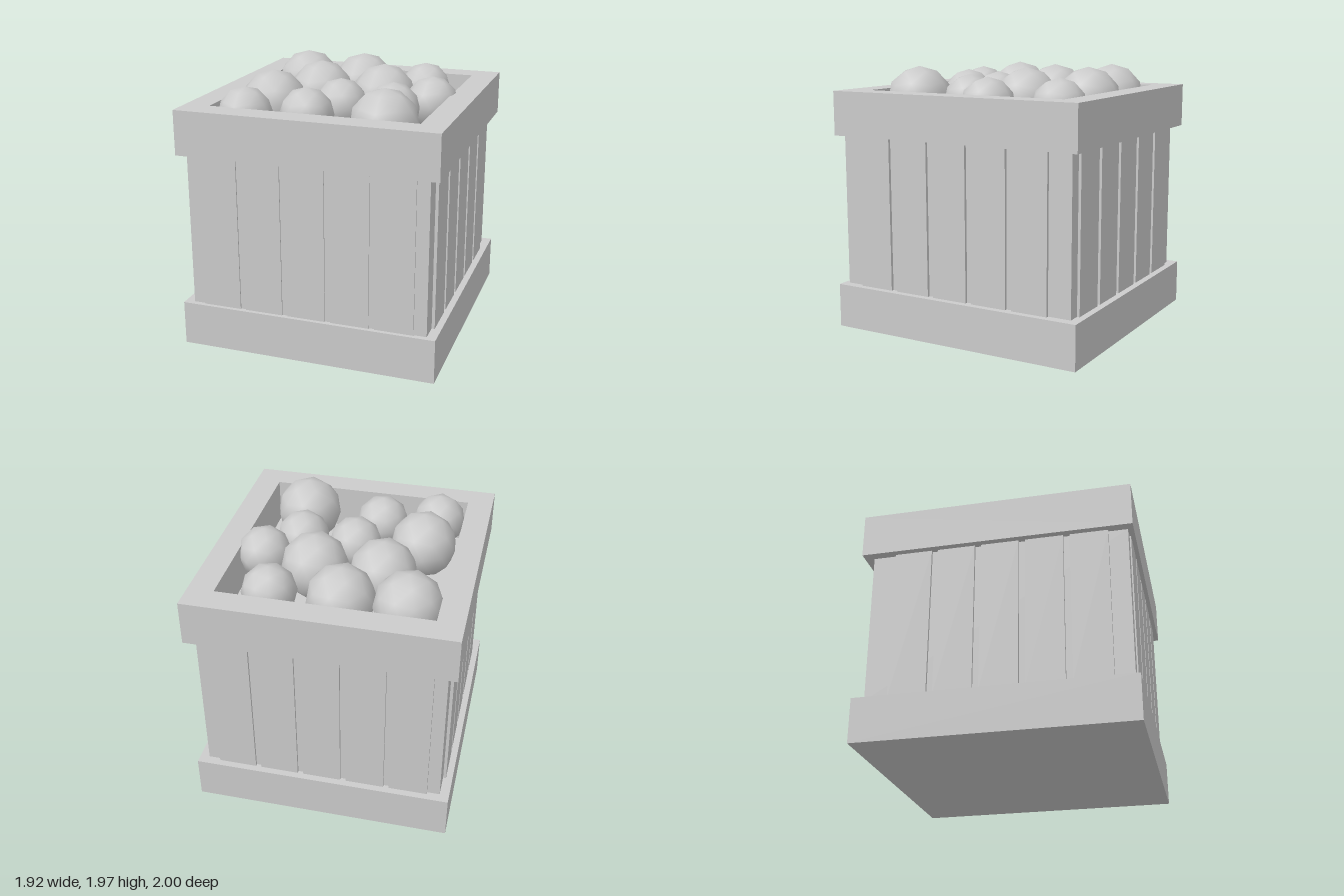
import * as THREE from 'three';

export function createModel() {
  const model = new THREE.Group();
  model.name = 'crateOfBalls';
  const mat = new THREE.MeshStandardMaterial({ color: 0xcccccc });

  const add = (name, geometry, x, y, z) => {
    const mesh = new THREE.Mesh(geometry, mat);
    mesh.name = name;
    mesh.position.set(x, y, z);
    model.add(mesh);
    return mesh;
  };
  // Box given by its limits on each axis
  const box = (name, x0, x1, y0, y1, z0, z1) =>
    add(name, new THREE.BoxGeometry(x1 - x0, y1 - y0, z1 - z0),
      (x0 + x1) / 2, (y0 + y1) / 2, (z0 + z1) / 2);

  const baseTop = 0.33, rimBottom = 1.47, rimTop = 1.8;

  // Base slab and recessed inner body, whose top is the tray floor
  box('base', -0.96, 0.96, 0, baseTop, -1, 1);
  box('body', -0.89, 0.89, baseTop, rimBottom, -0.93, 0.96);

  // Five upright planks on each side
  for (let i = -2; i <= 2; i++) {
    const x = i * 0.327, z = 0.033 + i * 0.325;
    box('frontPlank', x - 0.143, x + 0.143, baseTop, rimBottom, 0.94, 0.97);
    box('backPlank', x - 0.143, x + 0.143, baseTop, rimBottom, -0.95, -0.9);
    box('leftPlank', 0.86, 0.912, baseTop, rimBottom, z - 0.139, z + 0.139);
    box('rightPlank', -0.912, -0.86, baseTop, rimBottom, z - 0.139, z + 0.139);
  }

  // Top rim: a frame with a rectangular opening
  const rect = (Type, w, d) => new Type([
    new THREE.Vector2(-w, -d), new THREE.Vector2(w, -d),
    new THREE.Vector2(w, d), new THREE.Vector2(-w, d),
  ]);
  const frame = rect(THREE.Shape, 0.96, 1);
  frame.holes.push(rect(THREE.Path, 0.77, 0.805));
  const rim = new THREE.ExtrudeGeometry(frame, { depth: rimTop - rimBottom, bevelEnabled: false });
  rim.rotateX(-Math.PI / 2);
  add('rim', rim, 0, rimBottom, 0);

  // Balls with a vertex on top: x, z, radius, turn in degrees
  const balls = [
    [-0.54, -0.56, 0.25, 0], [-0.07, -0.58, 0.25, 9], [0.44, -0.6, 0.2, 0],
    [-0.29, -0.19, 0.25, 9], [0.21, -0.21, 0.25, 6], [0.615, -0.12, 0.2, 9],
    [-0.51, 0.25, 0.25, 6], [-0.01, 0.16, 0.2, 4], [0.395, 0.165, 0.2, 12],
    [-0.57, 0.64, 0.2, 16], [-0.147, 0.52, 0.2, 0], [0.455, 0.58, 0.25, 18],
  ];
  const unitBall = new THREE.IcosahedronGeometry(1, 1);
  unitBall.rotateZ(Math.atan(2 / (1 + Math.sqrt(5))));
  for (const [x, z, r, turn] of balls) {
    const ball = add('ball', unitBall, x, 1.72, z);
    ball.scale.setScalar(r);
    ball.rotation.y = THREE.MathUtils.degToRad(turn);
  }
  return model;
}
